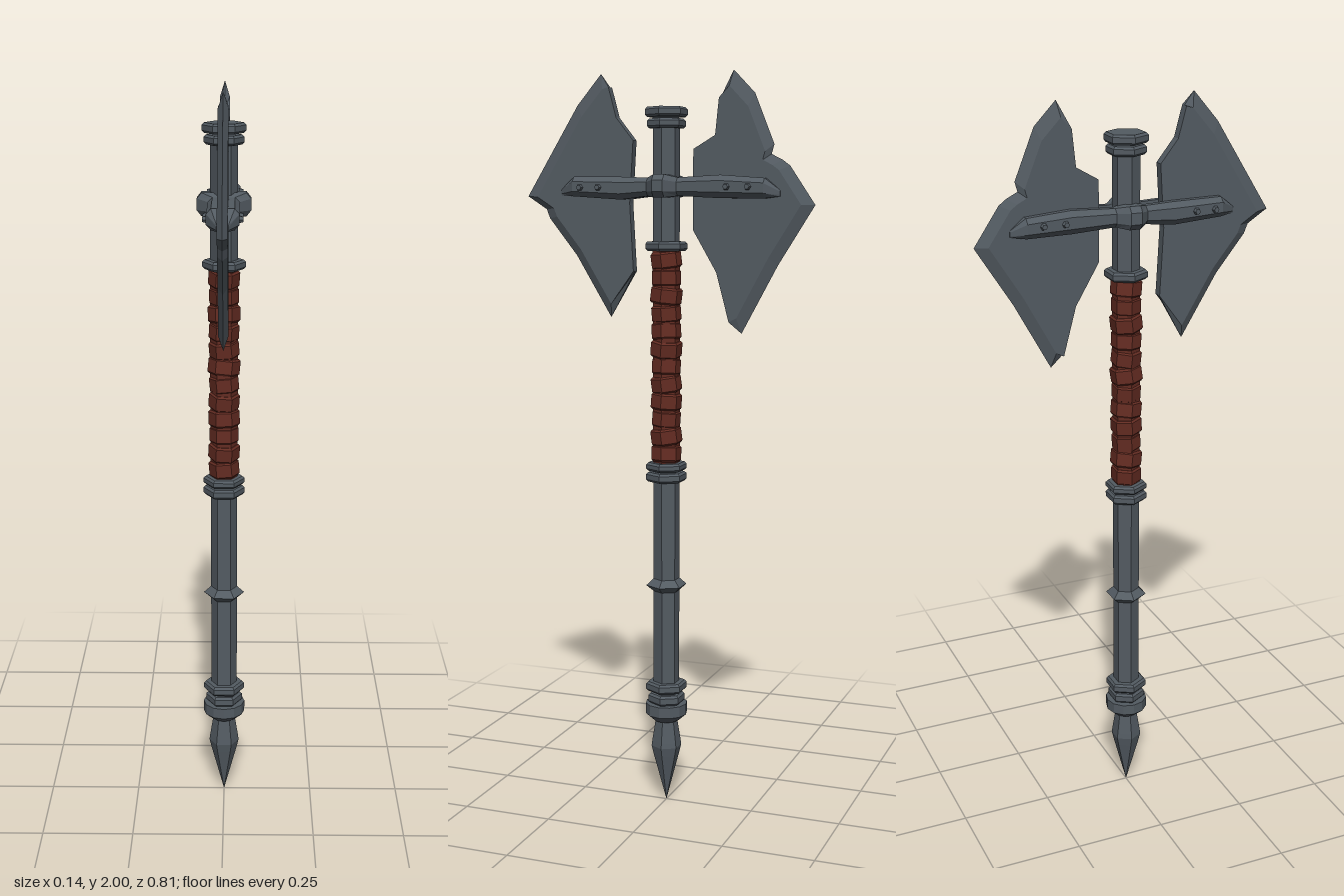
import * as THREE from 'three';

const steel = new THREE.MeshStandardMaterial({ color: 0x535b62 });
steel.name = 'dark steel';
const leather = new THREE.MeshStandardMaterial({ color: 0x642c22 });
leather.name = 'red leather';

// Faceted mesh: every face gets its own normal
function facet(name, geo, mat) {
  const g = geo.index ? geo.toNonIndexed() : geo;
  g.computeVertexNormals();
  const m = new THREE.Mesh(g, mat);
  m.name = name;
  return m;
}

// Turned part with few sides; profile is [radius, y] from bottom to top
function turned(name, profile, mat = steel, sides = 6) {
  const pts = profile.map(([r, y]) => new THREE.Vector2(r, y));
  return facet(name, new THREE.LatheGeometry(pts, sides, Math.PI / 6), mat);
}

// Collar with chamfered rims
function collar(name, y0, y1, r, mat = steel, sides = 6, c = 0.006) {
  return turned(name, [[0, y0], [r - c, y0], [r, y0 + c], [r, y1 - c], [r - c, y1], [0, y1]], mat, sides);
}

function build(name, verts, tris) {
  const g = new THREE.BufferGeometry();
  g.setAttribute('position', new THREE.Float32BufferAttribute(verts.flat(), 3));
  g.setIndex(tris.flat());
  return facet(name, g, steel);
}

// Blade plate: points are [z, y, sharp]; sharp points are bevelled to a thin edge.
// Outlines run counter-clockwise when seen from +x with -z to the right.
function blade(name, outline) {
  const t = 0.013, n = outline.length, side = Math.sign(outline[0][0]);
  const inset = outline.map(([z, y, s]) => s
    ? [z + (side * 0.12 - z) * 0.12, y + (1.66 - y) * 0.12] : [z, y]);
  const verts = [
    ...inset.map(([z, y]) => [t, y, z]),
    ...outline.map(([z, y]) => [0, y, z]),
    ...inset.map(([z, y]) => [-t, y, z]),
  ];
  const tris = [];
  const flat2 = inset.map(([z, y]) => new THREE.Vector2(-z, y));
  for (const [a, b, c] of THREE.ShapeUtils.triangulateShape(flat2, [])) {
    const [p, q, r] = [flat2[a], flat2[b], flat2[c]];
    const ccw = (q.x - p.x) * (r.y - p.y) - (q.y - p.y) * (r.x - p.x) > 0;
    const [i, j] = ccw ? [b, c] : [c, b];
    tris.push([a, i, j], [2 * n + a, 2 * n + j, 2 * n + i]);
  }
  for (let i = 0; i < n; i++) {
    const j = (i + 1) % n;
    for (const k of [0, n]) {
      tris.push([k + i, k + n + i, k + n + j], [k + i, k + n + j, k + j]);
    }
  }
  return build(name, verts, tris);
}

// Strap on the +x side, lofted along z; stations are [z, outer x, centre y, half height]
function strap(name, stations) {
  const verts = [], tris = [], inner = 0.013;
  for (const [z, x, y, h] of stations) {
    const c = Math.min(0.012, (x - inner) * 0.5);
    verts.push([inner, y - h, z], [x - c, y - h, z], [x, y - h * 0.5, z],
      [x, y + h * 0.5, z], [x - c, y + h, z], [inner, y + h, z]);
  }
  const n = 6, last = (stations.length - 1) * n;
  for (let s = 0; s < last; s += n) {
    for (let i = 0; i < n; i++) {
      const j = (i + 1) % n;
      tris.push([s + i, s + j, s + n + j], [s + i, s + n + j, s + n + i]);
    }
  }
  for (let i = 1; i < n - 1; i++) {
    tris.push([0, i + 1, i], [last, last + i, last + i + 1]);
  }
  return build(name, verts, tris);
}

export function createModel() {
  const model = new THREE.Group();
  model.name = 'doubleAxe';

  // Shaft and pommel spike
  model.add(turned('shaft', [[0, 0.24], [0.036, 0.24], [0.036, 1.88], [0, 1.88]]));
  model.add(turned('pommelSpike', [[0, 0], [0.036, 0.135], [0.042, 0.16], [0.04, 0.175], [0.028, 0.25], [0, 0.25]]));

  // Collars along the shaft
  model.add(turned('pommelCup', [[0, 0.235], [0.035, 0.235], [0.058, 0.255], [0.058, 0.285], [0, 0.285]], steel, 12));
  model.add(collar('pommelRing', 0.285, 0.313, 0.051));
  model.add(collar('pommelRim', 0.32, 0.347, 0.057));
  model.add(turned('middleRing', [[0.036, 0.605], [0.056, 0.622], [0.036, 0.64]]));
  model.add(collar('gripLowerRing', 0.912, 0.938, 0.056));
  model.add(collar('gripLowerRim', 0.942, 0.965, 0.056));
  model.add(collar('gripUpperRing', 1.535, 1.56, 0.057));
  model.add(collar('headRing', 1.855, 1.88, 0.052));
  model.add(collar('headCap', 1.884, 1.91, 0.057));

  // Leather wrap: slightly tilted overlapping bands
  const grip = new THREE.Group();
  grip.name = 'leatherGrip';
  grip.add(turned('gripCore', [[0.037, 0.965], [0.037, 1.535]], leather));
  const bands = 12, step = 0.57 / bands;
  for (let i = 0; i < bands; i++) {
    const r = 0.041 + 0.002 * Math.sin(i * 2.3);
    const band = collar('gripBand', -step * 0.47, step * 0.47, r, leather, 6, 0.005);
    band.position.y = 0.965 + step * (i + 0.5);
    band.rotation.set(0.12 * Math.sin(i * 1.9), 0, 0.1 * Math.sin(i * 2.7 + 1));
    grip.add(band);
  }
  model.add(grip);

  // Two notched blades
  model.add(blade('frontBlade', [
    [0.09, 1.825], [0.138, 1.885], [0.16, 1.965], [0.186, 2, 1], [0.255, 1.92, 1],
    [0.405, 1.68, 1], [0.35, 1.645, 1], [0.34, 1.62, 1], [0.26, 1.52, 1],
    [0.16, 1.355, 1], [0.09, 1.48], [0.1, 1.66],
  ]));
  model.add(blade('backBlade', [
    [-0.08, 1.8], [-0.08, 1.59], [-0.145, 1.48], [-0.18, 1.35], [-0.212, 1.32, 1],
    [-0.31, 1.5, 1], [-0.408, 1.655, 1], [-0.34, 1.755, 1], [-0.32, 1.77, 1],
    [-0.29, 1.785, 1], [-0.297, 1.81, 1], [-0.244, 1.94, 1], [-0.186, 2, 1],
    [-0.15, 1.93], [-0.14, 1.835],
  ]));

  // Straps and rivets clamping the blades to the shaft
  const stations = [
    [-0.318, 0.015, 1.685, 0.008], [-0.28, 0.041, 1.698, 0.026], [-0.16, 0.041, 1.703, 0.03],
    [-0.042, 0.041, 1.703, 0.024], [-0.015, 0.07, 1.705, 0.03], [0.015, 0.07, 1.705, 0.03],
    [0.042, 0.041, 1.703, 0.024], [0.12, 0.041, 1.7, 0.03], [0.255, 0.041, 1.705, 0.026],
    [0.298, 0.015, 1.69, 0.008],
  ];
  for (const turn of [false, true]) {
    const clamp = new THREE.Group();
    clamp.name = turn ? 'rightClamp' : 'leftClamp';
    // The right clamp mirrors the left one
    clamp.scale.x = turn ? -1 : 1;
    clamp.add(strap('strap', stations));
    for (const z of [-0.238, -0.18, 0.18, 0.233]) {
      const rivet = facet('rivet', new THREE.CylinderGeometry(0.007, 0.011, 0.014, 6), steel);
      rivet.rotation.z = -Math.PI / 2;
      rivet.position.set(0.043, 1.702, z);
      clamp.add(rivet);
    }
    model.add(clamp);
  }
  return model;
}
